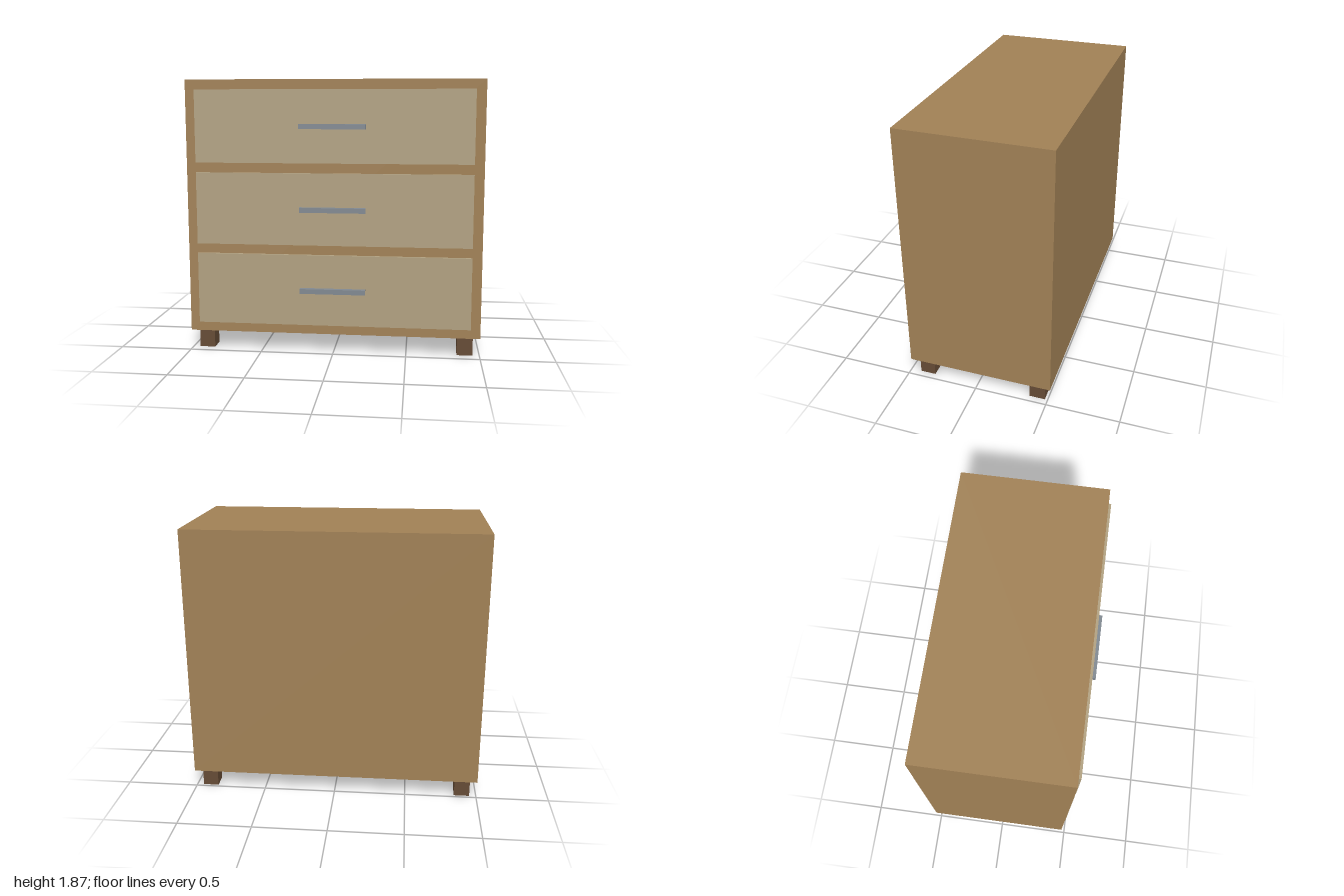
import * as THREE from 'three';

const paint = (name, color) => {
  const m = new THREE.MeshStandardMaterial({ color });
  m.name = name;
  return m;
};

export function createModel() {
  const group = new THREE.Group();
  group.name = 'chestOfDrawers';
  const wood = paint('wood', 0xa08055);
  const paleWood = paint('paleWood', 0xb0a080);
  const metal = paint('greyMetal', 0x808890);
  const darkWood = paint('darkWood', 0x654b35);

  const box = (name, material, size, position) => {
    const mesh = new THREE.Mesh(new THREE.BoxGeometry(...size), material);
    mesh.name = name;
    mesh.position.set(...position);
    group.add(mesh);
  };

  // Cabinet body
  box('cabinet', wood, [2, 1.733, 1], [0, 1, -0.027]);

  // Three raised drawer fronts, each with a bar handle
  ['lower', 'middle', 'upper'].forEach((level, i) => {
    const y = 1 + (i - 1) * 0.556;
    box(level + 'Drawer', paleWood, [1.867, 0.489, 0.02], [0, y, 0.483]);
    box(level + 'Handle', metal, [0.445, 0.033, 0.034], [0, y, 0.51]);
  });

  // Four square legs, inset from the corners
  for (const [side, x] of [['left', 0.9], ['right', -0.9]])
    for (const [end, z] of [['Front', 0.373], ['Back', -0.427]])
      box(side + end + 'Leg', darkWood, [0.107, 0.134, 0.107], [x, 0.067, z]);

  return group;
}
